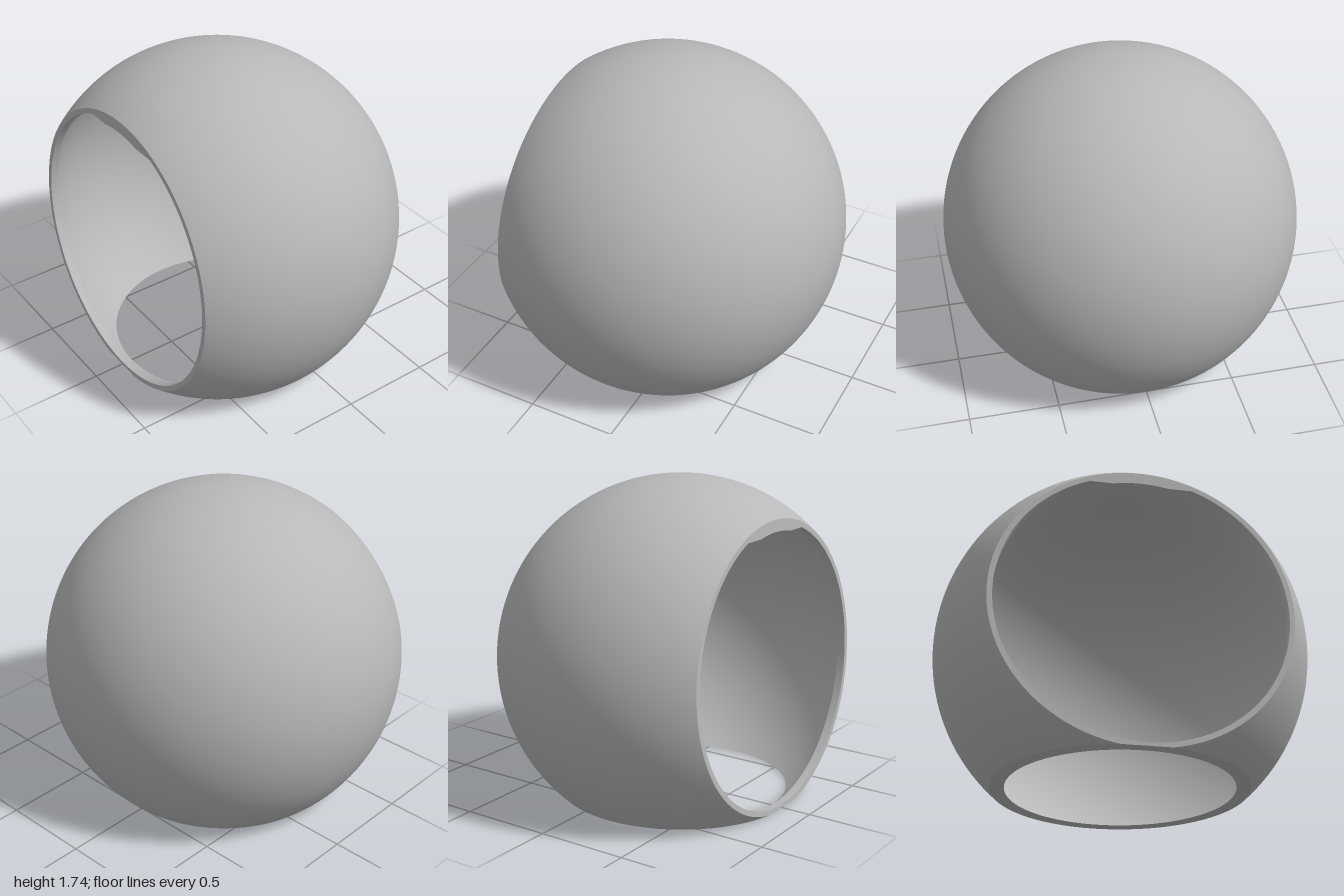
import * as THREE from 'three';

const OUTER = 1, INNER = 0.951;        // shell radii
const FLOOR = -0.74, LIP = 0.735;      // base cut and lip height, from the sphere centre
const TILT = 0.051, CUT = 0.622;       // lean of the front cut and its distance from the centre
const BORE = 0.755;                    // radius of the front opening
const SEG = 144;

const above = y => new THREE.Plane(new THREE.Vector3(0, 1, 0), -y);
const below = y => new THREE.Plane(new THREE.Vector3(0, -1, 0), y);
const behindFront = new THREE.Plane(new THREE.Vector3(0, -Math.sin(TILT), -Math.cos(TILT)), CUT);
const chord = (r, d) => Math.sqrt(r * r - d * d);

// Keep the part of a geometry on the positive side of a plane
function clip(geometry, plane) {
  const g = geometry.index ? geometry.toNonIndexed() : geometry;
  const p = g.attributes.position, n = g.attributes.normal;
  const pos = [], nor = [];
  for (let i = 0; i < p.count; i += 3) {
    const poly = [], tri = [0, 1, 2].map(k => {
      const v = new THREE.Vector3().fromBufferAttribute(p, i + k);
      return { v, n: new THREE.Vector3().fromBufferAttribute(n, i + k), d: plane.distanceToPoint(v) };
    });
    tri.forEach((a, k) => {
      const b = tri[(k + 1) % 3];
      if (a.d >= 0) poly.push(a);
      if ((a.d >= 0) !== (b.d >= 0)) {
        const t = a.d / (a.d - b.d);
        poly.push({ v: a.v.clone().lerp(b.v, t), n: a.n.clone().lerp(b.n, t).normalize() });
      }
    });
    for (let k = 1; k + 1 < poly.length; k++) {
      for (const c of [poly[0], poly[k], poly[k + 1]]) {
        pos.push(c.v.x, c.v.y, c.v.z);
        nor.push(c.n.x, c.n.y, c.n.z);
      }
    }
  }
  const out = new THREE.BufferGeometry();
  out.setAttribute('position', new THREE.Float32BufferAttribute(pos, 3));
  out.setAttribute('normal', new THREE.Float32BufferAttribute(nor, 3));
  return out;
}

// Turn a profile around the leaning front axis
function turned(points) {
  return new THREE.LatheGeometry(points.map(q => new THREE.Vector2(...q)), SEG).rotateX(Math.PI / 2 - TILT);
}

// Band of a sphere between two polar angles, with exact smooth normals
function sphereBand(radius, from, to, steps, sign) {
  const points = [];
  for (let i = 0; i <= steps; i++) {
    const a = from + (to - from) * i / steps;
    points.push([Math.max(0, radius * Math.sin(a)), radius * Math.cos(a)]);
  }
  const g = turned(points), p = g.attributes.position;
  for (let i = 0; i < p.count; i++) {
    const v = new THREE.Vector3().fromBufferAttribute(p, i).normalize().multiplyScalar(sign);
    g.attributes.normal.setXYZ(i, v.x, v.y, v.z);
  }
  return g;
}

export function createModel() {
  const grey = new THREE.MeshStandardMaterial({ color: 0xb8b8b8 });
  grey.name = 'grey';
  const model = new THREE.Group();
  model.name = 'openSphereShell';
  const add = (name, geometry) => {
    const mesh = new THREE.Mesh(geometry, grey);
    mesh.name = name;
    mesh.position.set(0, -FLOOR, 0.17);
    model.add(mesh);
  };

  const outerRim = chord(OUTER, CUT), innerRim = chord(INNER, CUT);
  const boreBack = chord(INNER, BORE);
  const boreAngle = Math.asin(BORE / INNER), innerAngle = Math.acos(CUT / INNER);

  // Outer and inner skins
  add('outerShell', clip(sphereBand(OUTER, Math.PI, Math.acos(CUT), 72, 1), above(FLOOR)));
  add('innerShell', clip(sphereBand(INNER, boreAngle, Math.PI, 72, -1), above(FLOOR)));

  // Front rim and the wall of the round opening
  add('frontRim', clip(turned([[outerRim, CUT], [BORE, CUT]]), above(FLOOR)));
  add('openingWall', clip(turned([[BORE, CUT], [BORE, boreBack]]), below(LIP)));

  // Lip left uncut at the top of the opening
  add('topLipFront', clip(turned([[BORE, CUT], [innerRim, CUT]]), above(LIP)));
  add('topLipInside', clip(sphereBand(INNER, innerAngle, boreAngle, 3, -1), above(LIP)));
  const axisY = CUT * Math.sin(TILT);
  const lipFront = (CUT - LIP * Math.sin(TILT)) / Math.cos(TILT);
  const x0 = chord(innerRim, LIP - axisY), x1 = chord(BORE, LIP - axisY);
  for (const side of [-1, 1]) {
    const g = new THREE.PlaneGeometry(1, 1, 12, 1).rotateX(Math.PI / 2);
    const p = g.attributes.position;
    for (let i = 0; i < p.count; i++) {
      const t = p.getX(i) + 0.5;
      const x = side > 0 ? x0 + (x1 - x0) * t : -x1 + (x1 - x0) * t;
      const back = Math.min(lipFront, Math.sqrt(INNER * INNER - LIP * LIP - x * x));
      p.setXYZ(i, x, LIP, p.getZ(i) > 0 ? lipFront : back);
    }
    add(side > 0 ? 'leftLipUnderside' : 'rightLipUnderside', g);
  }

  // Flat ring the shell stands on
  const ring = [chord(INNER, FLOOR), chord(OUTER, FLOOR)].map(r => new THREE.Vector2(r, FLOOR));
  add('baseRing', clip(new THREE.LatheGeometry(ring, SEG), behindFront));

  return model;
}
